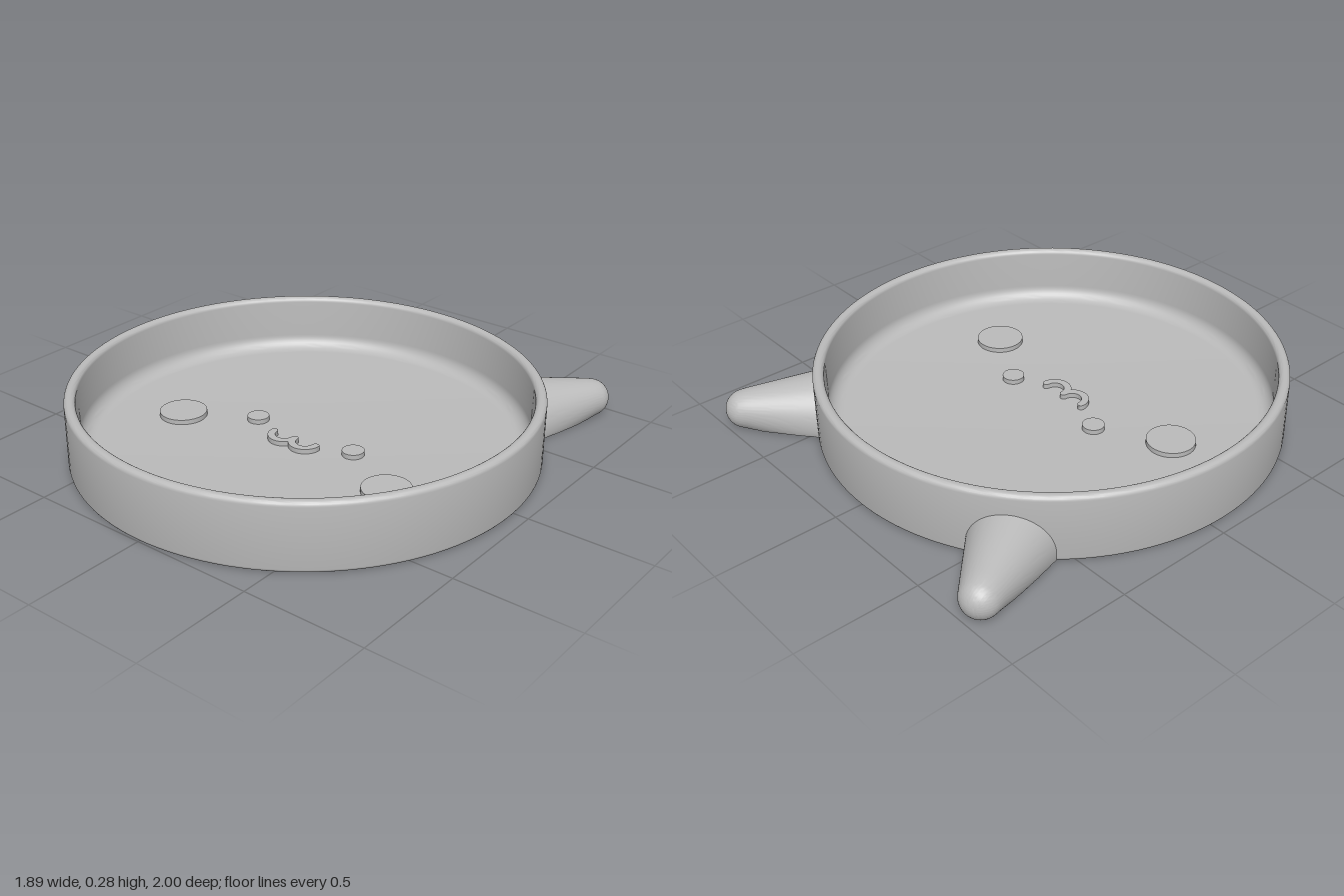
import * as THREE from 'three';
import { toCreasedNormals } from 'three/addons/utils/BufferGeometryUtils.js';

const CENTRE_Z = 0.055; // the dish sits slightly forward of the ears
const FLOOR = 0.04;
const RELIEF = 0.02;

// Round dish: closed profile with rounded rim, base edge and inner fillet
function dishGeometry() {
  const R = 0.945, inner = 0.9, H = 0.28;
  const pts = [new THREE.Vector2(0, 0)];
  const arc = (cx, cy, r, from, to, n) => {
    for (let i = 0; i <= n; i++) {
      const a = THREE.MathUtils.degToRad(from + (to - from) * i / n);
      pts.push(new THREE.Vector2(cx + r * Math.cos(a), cy + r * Math.sin(a)));
    }
  };
  arc(R - 0.015, 0.015, 0.015, -90, 0, 4);
  arc(R - 0.02, H - 0.02, 0.02, 0, 90, 6);
  arc(inner + 0.02, H - 0.02, 0.02, 90, 180, 6);
  arc(inner - 0.06, FLOOR + 0.06, 0.06, 0, -90, 10);
  pts.push(new THREE.Vector2(0, FLOOR));
  return toCreasedNormals(new THREE.LatheGeometry(pts, 128), 0.5);
}

// Ear: round-tipped cone cut flat at the ground, its base following the dish wall
function earGeometry(side) {
  const R = 0.078, half = THREE.MathUtils.degToRad(15), bend = Math.PI / 2 - half;
  const tip = new THREE.Vector3(side * 0.749, 0, -0.922);
  const axis = new THREE.Vector3(side * 0.53, 0, -0.848);
  const across = new THREE.Vector3(side * 0.848, 0, 0.53);
  const place = (d, r, a) => {
    const p = tip.clone().addScaledVector(axis, -d).addScaledVector(across, r * Math.cos(a));
    p.y = Math.max(0, 0.072 - 0.12 * Math.max(d, 0) + r * Math.sin(a));
    return p;
  };
  const d0 = -R * Math.cos(bend), r0 = R * Math.sin(bend);
  const onCone = (d, a) => place(d, r0 + (d - d0) * Math.tan(half), a);
  const geo = new THREE.PlaneGeometry(1, 1, 96, 24);
  const pos = geo.attributes.position;
  for (let i = 0; i < pos.count; i++) {
    const a = side * (pos.getX(i) + 0.5) * Math.PI * 2 - Math.PI / 2;
    const v = pos.getY(i) + 0.5;
    let p;
    if (v <= 0.5) {
      const t = v * 2 * bend;
      p = place(-R * Math.cos(t), R * Math.sin(t), a);
    } else {
      // find where this line of the cone meets the dish wall
      let lo = d0, hi = 0.7;
      for (let k = 0; k < 24; k++) {
        const mid = (lo + hi) / 2, q = onCone(mid, a);
        if (Math.hypot(q.x, q.z - CENTRE_Z) > 0.925) lo = mid; else hi = mid;
      }
      p = onCone(d0 + (lo - d0) * (v - 0.5) * 2, a);
    }
    pos.setXYZ(i, p.x, p.y, p.z);
  }
  return toCreasedNormals(geo, 0.6);
}

// Mouth: two joined U curves with rounded ends
function mouthGeometry() {
  const r = 0.053, w = 0.015, n = 20;
  const shape = new THREE.Shape();
  shape.absarc(-r, 0, r + w, Math.PI, Math.PI * 2 - 0.68, false);
  shape.absarc(r, 0, r + w, Math.PI + 0.68, Math.PI * 2, false);
  shape.absarc(2 * r, 0, w, 0, Math.PI, false);
  shape.absarc(r, 0, r - w, 0, -Math.PI, true);
  shape.absarc(0, 0, w, 0, Math.PI, false);
  shape.absarc(-r, 0, r - w, 0, -Math.PI, true);
  shape.absarc(-2 * r, 0, w, 0, Math.PI, false);
  const geo = new THREE.ExtrudeGeometry(shape, { depth: RELIEF, bevelEnabled: false, curveSegments: n });
  return toCreasedNormals(geo.rotateX(-Math.PI / 2), 0.6);
}

export function createModel() {
  const model = new THREE.Group();
  model.name = 'animalFaceDish';
  const grey = new THREE.MeshStandardMaterial({ color: 0xbababa });
  grey.name = 'grey';
  const add = (name, geometry, x = 0, y = 0, z = 0) => {
    const mesh = new THREE.Mesh(geometry, grey);
    mesh.name = name;
    mesh.position.set(x, y, z);
    model.add(mesh);
  };

  add('dish', dishGeometry(), 0, 0, CENTRE_Z);
  add('mouth', mouthGeometry(), 0, FLOOR, 0.125);

  // Paired parts
  for (const [label, s] of [['left', 1], ['right', -1]]) {
    add(label + 'Ear', earGeometry(s));
    const disc = r => new THREE.CylinderGeometry(r, r, RELIEF, 48);
    add(label + 'Eye', disc(0.045), s * 0.245, FLOOR + RELIEF / 2, 0.063);
    add(label + 'Cheek', disc(0.098), s * 0.52, FLOOR + RELIEF / 2, 0.22);
  }
  return model;
}
